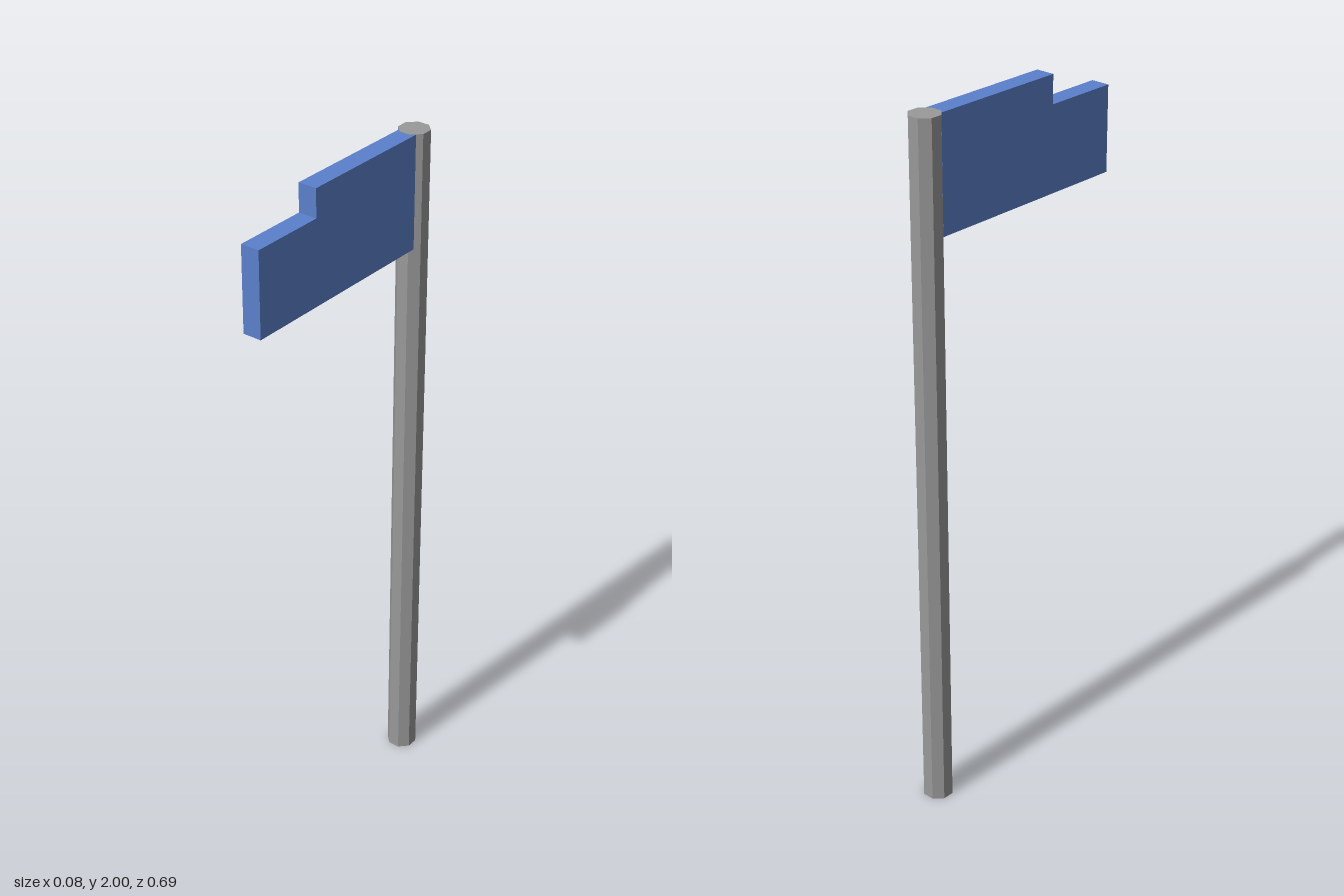
import * as THREE from 'three';

export function createModel() {
  const model = new THREE.Group();
  model.name = 'flagPole';

  const grey = new THREE.MeshStandardMaterial({ color: 0x999999, flatShading: true });
  grey.name = 'poleGrey';
  const blue = new THREE.MeshStandardMaterial({ color: 0x5b80cc, flatShading: true });
  blue.name = 'flagBlue';

  // Eight-sided pole, flat sides facing the axes
  const poleGeometry = new THREE.CylinderGeometry(0.0433, 0.0433, 2, 8);
  poleGeometry.rotateY(Math.PI / 8);
  const pole = new THREE.Mesh(poleGeometry, grey);
  pole.name = 'pole';
  pole.position.set(0, 1, -0.305);
  model.add(pole);

  // Stepped flag, drawn as (z, y) and extruded across x;
  // its top sits a hair below the pole cap so the two do not coincide
  const top = 1.9995;
  const outline = new THREE.Shape([
    [-0.275, 1.68], [0.345, 1.68], [0.345, 1.92],
    [0.128, 1.92], [0.128, top], [-0.275, top],
  ].map(([z, y]) => new THREE.Vector2(z, y)));
  const thickness = 0.054;
  const flagGeometry = new THREE.ExtrudeGeometry(outline, { depth: thickness, bevelEnabled: false });
  flagGeometry.translate(0, 0, -thickness / 2);
  flagGeometry.rotateY(-Math.PI / 2);
  const flag = new THREE.Mesh(flagGeometry, blue);
  flag.name = 'flag';
  model.add(flag);

  return model;
}
